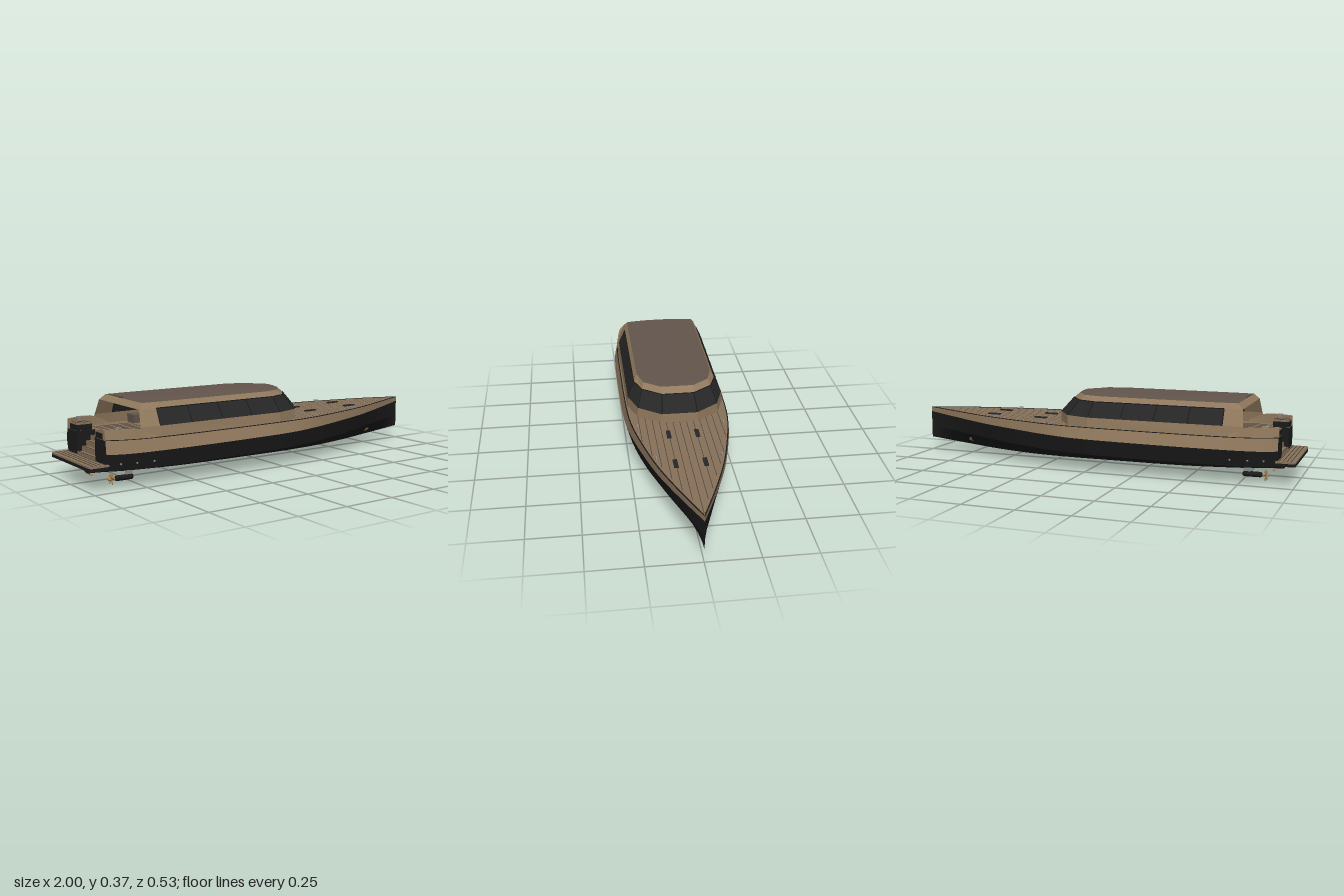
import * as THREE from 'three';

const mat = (name, color) => new THREE.MeshStandardMaterial({ name, color, side: THREE.DoubleSide });

export function createModel() {
  const boat = new THREE.Group();
  boat.name = 'motorYacht';
  const M = {
    hull: mat('hullBlack', 0x1b1b1b), tan: mat('tanPaint', 0x927a5e), deck: mat('deckTeak', 0x86715a),
    roof: mat('roofTaupe', 0x62554c), glass: mat('darkGlass', 0x272727), seam: mat('seamBrown', 0x4c4034),
    bronze: mat('bronze', 0xa8814f), steel: mat('steel', 0x8a8a8a),
  };
  const add = (name, geo, m, x = 0, y = 0, z = 0) => {
    const mesh = new THREE.Mesh(geo, m);
    mesh.name = name;
    mesh.position.set(x, y, z);
    boat.add(mesh);
    return mesh;
  };
  const box = (name, m, w, h, d, x, y, z) => add(name, new THREE.BoxGeometry(w, h, d), m, x, y, z);

  // Surface through rows of [x, y, z] points
  const loft = (name, rows, m, flat = false) => {
    const n = rows[0].length, idx = [];
    for (let i = 0; i < rows.length - 1; i++)
      for (let j = 0; j < n - 1; j++) {
        const a = i * n + j, b = a + n;
        idx.push(a, b, a + 1, b, b + 1, a + 1);
      }
    let g = new THREE.BufferGeometry();
    g.setAttribute('position', new THREE.Float32BufferAttribute(rows.flat(2), 3));
    g.setIndex(idx);
    if (flat) g = g.toNonIndexed();
    g.computeVertexNormals();
    return add(name, g, m);
  };

  // Hull stations: x, keel y, chine z y, knuckle z y, sheer z y
  const stations = [
    [-0.92, 0.045, 0.185, 0.09, 0.205, 0.165, 0.198, 0.225],
    [-0.85, 0.042, 0.217, 0.09, 0.238, 0.165, 0.228, 0.224],
    [-0.7, 0.032, 0.24, 0.09, 0.26, 0.166, 0.247, 0.222],
    [-0.4, 0.022, 0.246, 0.09, 0.267, 0.167, 0.252, 0.222],
    [0, 0.02, 0.24, 0.092, 0.262, 0.17, 0.25, 0.224],
    [0.2, 0.02, 0.22, 0.097, 0.242, 0.176, 0.237, 0.226],
    [0.4, 0.024, 0.18, 0.105, 0.202, 0.185, 0.2, 0.229],
    [0.6, 0.036, 0.125, 0.115, 0.15, 0.194, 0.15, 0.232],
    [0.8, 0.055, 0.065, 0.127, 0.08, 0.205, 0.081, 0.236],
    [1, 0.075, 0, 0.14, 0, 0.215, 0, 0.238],
  ];
  const fine = [];
  for (let i = 0; i < stations.length - 1; i++)
    for (let k = 0; k < 6; k++) {
      const t = k / 6, p = (j) => stations[Math.min(Math.max(j, 0), stations.length - 1)];
      fine.push(stations[i].map((b, c) => {
        const a = p(i - 1)[c], d = p(i + 1)[c], e = p(i + 2)[c];
        return b + 0.5 * t * (d - a + t * (2 * a - 5 * b + 4 * d - e + t * (3 * (b - d) + e - a)));
      }));
    }
  fine.push(stations.at(-1));
  const at = (x) => {
    const i = Math.max(1, fine.findIndex((s) => s[0] >= x)), a = fine[i - 1], b = fine[i];
    const t = (x - a[0]) / (b[0] - a[0]);
    return a.map((v, c) => v + (b[c] - v) * t);
  };

  for (const s of [1, -1]) {
    const strip = (name, m, f, g, list = fine) =>
      loft(name, list.map((r) => [[r[0], ...f(r)], [r[0], ...g(r)]]), m);
    const keel = (r) => [r[1], 0], chine = (r) => [r[3], s * r[2]];
    const knuckle = (r) => [r[5], s * r[4]], sheer = (r) => [r[7], s * r[6]];
    strip('hullBottom', M.hull, keel, chine);
    strip('hullSide', M.hull, chine, knuckle);
    strip('hullTopside', M.tan, knuckle, sheer);
    const inner = (r) => [r[7], s * Math.min(0.095, r[6])];
    strip('sideDeck', M.deck, inner, sheer);
    strip('toeRailTop', M.hull, (r) => [r[7] + 0.003, s * r[6]], (r) => [r[7] + 0.003, s * Math.max(0, r[6] - 0.005)]);
    strip('toeRailEdge', M.hull, sheer, (r) => [r[7] + 0.003, s * r[6]]);

    // Raised bulwark wings around the cockpit
    const aft = [...fine.filter((r) => r[0] < -0.66)];
    const rise = (r) => 0.045 * THREE.MathUtils.smoothstep(-r[0], 0.66, 0.8) + 0.001;
    const topOut = (r) => [r[7] + rise(r), s * (r[6] - 0.006)];
    const topIn = (r) => [r[7] + rise(r), s * (r[6] - 0.022)];
    strip('bulwarkOuter', M.tan, sheer, topOut, aft);
    strip('bulwarkTop', M.tan, topOut, topIn, aft);
    strip('bulwarkInner', M.tan, topIn, (r) => [r[7], s * (r[6] - 0.024)], aft);
    box('bulwarkEnd', M.tan, 0.008, 0.043, 0.02, -0.916, 0.246, s * 0.184);

    // Aft lockers with slatted lids beside the stairs
    box('aftLocker', M.hull, 0.075, 0.03, 0.075, -0.88, 0.237, s * 0.135);
    box('lockerLid', M.deck, 0.075, 0.006, 0.075, -0.88, 0.255, s * 0.135);
    for (let i = 0; i < 3; i++) box('lidSeam', M.seam, 0.075, 0.002, 0.003, -0.88, 0.2585, s * (0.115 + i * 0.02));
    box('stairSide', M.hull, 0.09, 0.125, 0.004, -0.875, 0.162, s * 0.096);

    // Deck fittings and hull outlets
    for (const x of [0.315, 0.58]) box('deckHatch', M.glass, 0.066, 0.008, 0.02, x, at(x)[7] + 0.002, s * 0.068);
    for (const [x, d] of [[0.23, 0.025], [0.53, 0.02], [-0.86, 0.03]]) {
      const r = at(x), y = x < 0 ? 0.271 : r[7] + 0.008;
      box('cleatBar', M.steel, 0.03, 0.004, 0.006, x, y + 0.003, s * (r[6] - d));
      box('cleatFoot', M.steel, 0.012, 0.012, 0.005, x, y - 0.004, s * (r[6] - d));
    }
    for (const x of [-0.86, -0.79, -0.71]) {
      const r = at(x), t = (0.12 - r[3]) / (r[5] - r[3]);
      add('hullOutlet', new THREE.SphereGeometry(0.005, 10, 8), M.steel, x, 0.12, s * (r[2] + t * (r[4] - r[2])));
    }

    // Bow thruster grille
    const ring = new THREE.Group();
    ring.name = 'bowThrusterGrille';
    ring.add(new THREE.Mesh(new THREE.TorusGeometry(0.015, 0.002, 8, 24), M.bronze));
    for (const k of [-1, 0, 1]) {
      const bar = new THREE.Mesh(new THREE.BoxGeometry(0.003, 0.026, 0.003), M.bronze);
      bar.position.x = k * 0.007;
      ring.add(bar);
    }
    const b = at(0.73);
    ring.position.set(0.73, (b[1] + b[3]) / 2, s * b[2] / 2);
    const tilt = Math.atan2(b[2], b[3] - b[1]);
    ring.rotation.x = s > 0 ? tilt : Math.PI - tilt;
    boat.add(ring);

    // Drive pod, strut and propeller
    const pod = add('drivePod', new THREE.CapsuleGeometry(0.013, 0.07, 6, 16), M.hull, -0.79, 0.031, s * 0.107);
    pod.rotation.z = Math.PI / 2;
    box('podStrut', M.steel, 0.035, 0.045, 0.008, -0.765, 0.055, s * 0.107);
    const prop = new THREE.Group();
    prop.name = 'propeller';
    const hub = new THREE.Mesh(new THREE.CylinderGeometry(0.008, 0.005, 0.03, 14), M.bronze);
    hub.rotation.z = -Math.PI / 2;
    prop.add(hub);
    for (let i = 0; i < 5; i++) {
      const arm = new THREE.Group(), blade = new THREE.Mesh(new THREE.SphereGeometry(0.011, 12, 8), M.bronze);
      blade.scale.set(0.2, 1, 0.8);
      blade.position.y = 0.017;
      blade.rotation.y = s * 0.7;
      arm.rotation.x = (i * Math.PI * 2) / 5;
      arm.add(blade);
      prop.add(arm);
    }
    prop.position.set(-0.853, 0.03, s * 0.107);
    boat.add(prop);
  }

  // Centre deck and plank seams
  const mid = [at(-0.83), ...fine.filter((r) => r[0] > -0.83)];
  loft('centreDeck', mid.map((r) => [-1, 1].map((s) => [r[0], r[7], s * Math.min(0.095, r[6])])), M.deck);
  for (let k = -6; k <= 6; k++) {
    const z = k * 0.033;
    const run = fine.filter((r) => r[0] > 0.05 && r[6] > Math.abs(z) + 0.008);
    if (run.length > 1) loft('plankSeam', run.map((r) => [-1, 1].map((e) => [r[0], r[7] + 0.001, z + e * 0.0015])), M.seam);
    if (Math.abs(k) < 6) box('cockpitSeam', M.seam, 0.22, 0.002, 0.003, -0.72, 0.2235, z);
  }

  // Transom with stair notch
  const t = stations[0], half = [[t[2], t[3]], [t[4], t[5]], [t[6], t[7]], [0.095, t[7]], [0.095, 0.105]];
  const outline = [[0, t[1]], ...half, ...half.map(([z, y]) => [-z, y]).reverse()];
  add('transom', new THREE.ShapeGeometry(new THREE.Shape(outline.map((p) => new THREE.Vector2(...p))))
    .rotateY(-Math.PI / 2), M.hull, t[0]);
  for (let i = 0; i < 4; i++) {
    const x0 = -0.92 + i * 0.0225, top = 0.132 + i * 0.0225;
    box('stairStep', M.deck, -0.83 - x0, 0.0225, 0.19, (x0 - 0.83) / 2, top - 0.01125, 0);
    box('stairNosing', M.seam, 0.004, 0.002, 0.188, x0 + 0.004, top + 0.001, 0);
  }

  // Swim platform
  const pl = new THREE.Shape();
  pl.moveTo(-0.91, -0.21).lineTo(-0.98, -0.21).quadraticCurveTo(-1, -0.21, -1, -0.19);
  pl.lineTo(-1, 0.19).quadraticCurveTo(-1, 0.21, -0.98, 0.21).lineTo(-0.91, 0.21);
  const slab = (depth) => new THREE.ExtrudeGeometry(pl, { depth, bevelEnabled: false }).rotateX(-Math.PI / 2);
  add('swimPlatformBase', slab(0.014), M.hull, 0, 0.098, 0);
  add('swimPlatformDeck', slab(0.008), M.deck, 0, 0.112, 0);
  for (let i = 0; i < 4; i++) box('platformSeam', M.seam, 0.003, 0.002, 0.4, -0.98 + i * 0.018, 0.1205, 0);

  // Cabin rings, half outline from stern to bow: [x, z]
  const ringPts = (y, pts) => [...pts.map(([x, z]) => [x, y, z]), ...pts.map(([x, z]) => [x, y, -z]).reverse()];
  const roofTop = [[-0.73, 0.18], [-0.65, 0.185], [-0.06, 0.185], [0.03, 0.16], [0.09, 0.08]];
  const base = ringPts(0.218, [[-0.785, 0.236], [-0.67, 0.243], [-0.01, 0.241], [0.11, 0.2], [0.19, 0.09]]);
  const sill = ringPts(0.272, [[-0.765, 0.23], [-0.67, 0.236], [-0.01, 0.236], [0.11, 0.195], [0.188, 0.087]]);
  const eave = ringPts(0.346, [[-0.755, 0.198], [-0.67, 0.202], [-0.03, 0.202], [0.055, 0.17], [0.122, 0.078]]);
  const crown = ringPts(0.371, roofTop);
  loft('cabinCoaming', [base, sill], M.tan, true);
  loft('cabinWindows', [sill.slice(1, -1), eave.slice(1, -1)], M.glass, true);
  loft('aftPillar', [sill.slice(0, 2), eave.slice(0, 2)], M.tan, true);
  loft('aftPillar', [sill.slice(-2), eave.slice(-2)], M.tan, true);
  loft('roofEdge', [[...eave, eave[0]], [...crown, crown[0]]], M.tan, true);
  loft('roofPanel', roofTop.map(([x, z]) => [1, 0.5, 0, -0.5, -1].map((k) => [x, 0.371 + 0.007 * (1 - k * k), k * z])), M.roof);
  loft('ceiling', eave.slice(0, 5).map(([x, y, z]) => [[x, y - 0.001, z], [x, y - 0.001, -z]]), M.roof);

  // Window mullions and eave trim
  const rod = (name, a, b, r = 0.0022) => {
    const A = new THREE.Vector3(...a), B = new THREE.Vector3(...b);
    add(name, new THREE.TubeGeometry(new THREE.LineCurve3(A, B), 1, r, 6), M.hull);
  };
  for (let i = 1; i < 9; i++) {
    rod('mullion', sill[i], eave[i]);
    if (i < 8) rod('eaveTrim', eave[i], eave[i + 1]);
  }
  for (const i of [1, 7])
    for (const k of [0.25, 0.5, 0.75]) {
      const mix = (r) => r[i].map((v, c) => v + (r[i + 1][c] - v) * k);
      rod('mullion', mix(sill), mix(eave));
    }

  // Saloon furniture
  for (const s of [1, -1]) box('saloonBench', M.roof, 0.36, 0.04, 0.07, -0.42, 0.243, s * 0.18);
  box('helmConsole', M.roof, 0.06, 0.055, 0.3, 0.06, 0.25, 0);
  return boat;
}
